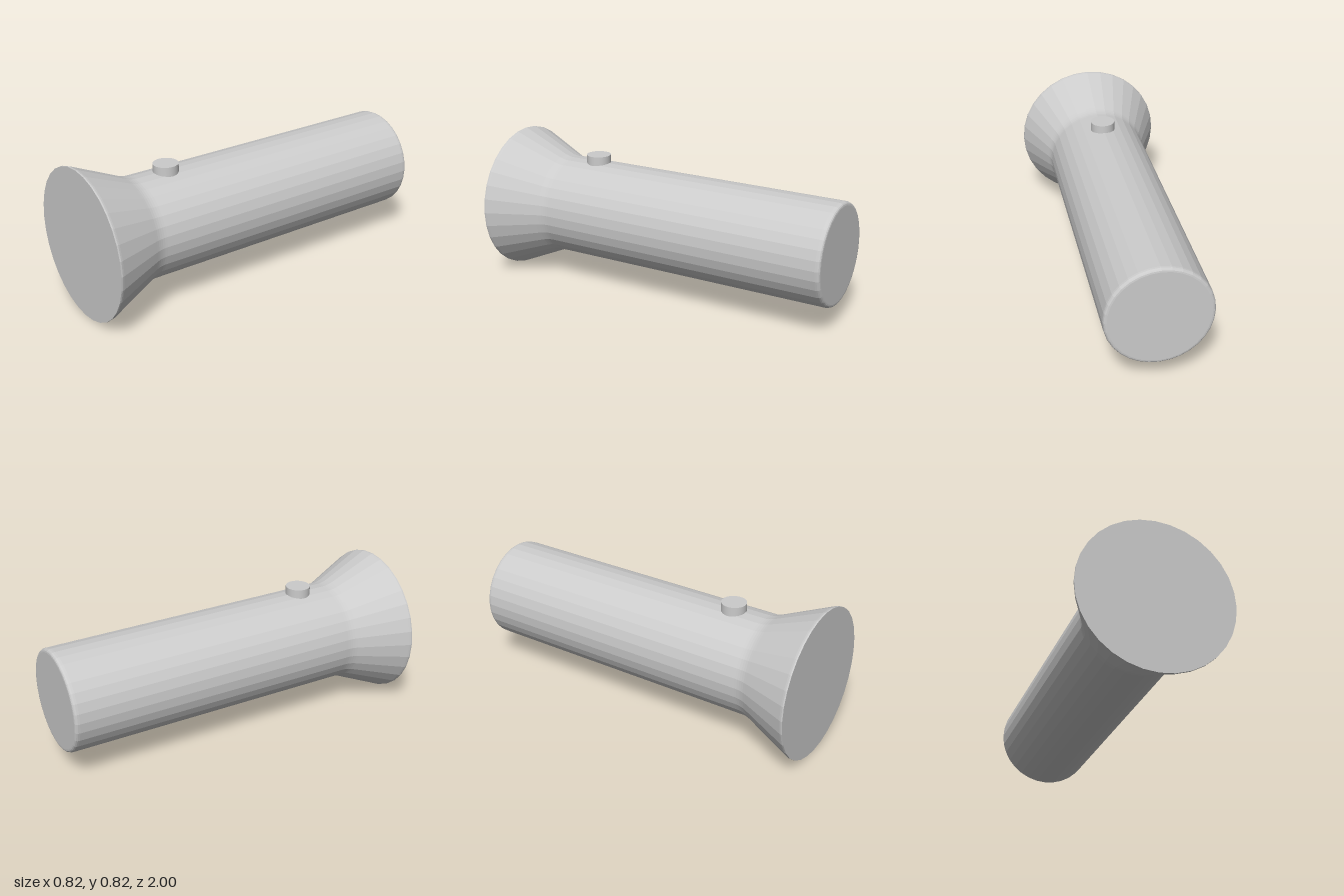
import * as THREE from 'three';

const AXIS_Y = 0.413;
const SIDES = 32;

export function createModel() {
  const group = new THREE.Group();
  group.name = 'flashlight';
  const material = new THREE.MeshStandardMaterial({ color: 0xcccccc, flatShading: true });

  // Profile (radius, position along z) with softened corners
  const profile = [new THREE.Vector2(0, -1)];
  const round = (from, corner, to, steps) => {
    const curve = new THREE.QuadraticBezierCurve(
      new THREE.Vector2(...from), new THREE.Vector2(...corner), new THREE.Vector2(...to));
    profile.push(...curve.getPoints(steps));
  };
  round([0.26, -1], [0.279, -1], [0.279, -0.975], 4);        // tail edge
  round([0.279, 0.655], [0.279, 0.69], [0.295, 0.725], 5);   // neck fillet
  round([0.408, 0.982], [0.413, 0.993], [0.411, 1], 2);      // rim edge
  profile.push(new THREE.Vector2(0, 1));

  // Handle and flared head as one turned body lying along z
  const body = new THREE.Mesh(new THREE.LatheGeometry(profile, SIDES), material);
  body.name = 'handleAndHead';
  body.rotation.x = Math.PI / 2;
  body.position.y = AXIS_Y;
  group.add(body);

  // Round switch on top, sunk slightly into the handle
  const button = new THREE.Mesh(new THREE.CylinderGeometry(0.068, 0.068, 0.07, SIDES), material.clone());
  button.material.flatShading = false;
  button.name = 'switchButton';
  button.position.set(0, 0.7, 0.482);
  group.add(button);

  return group;
}
